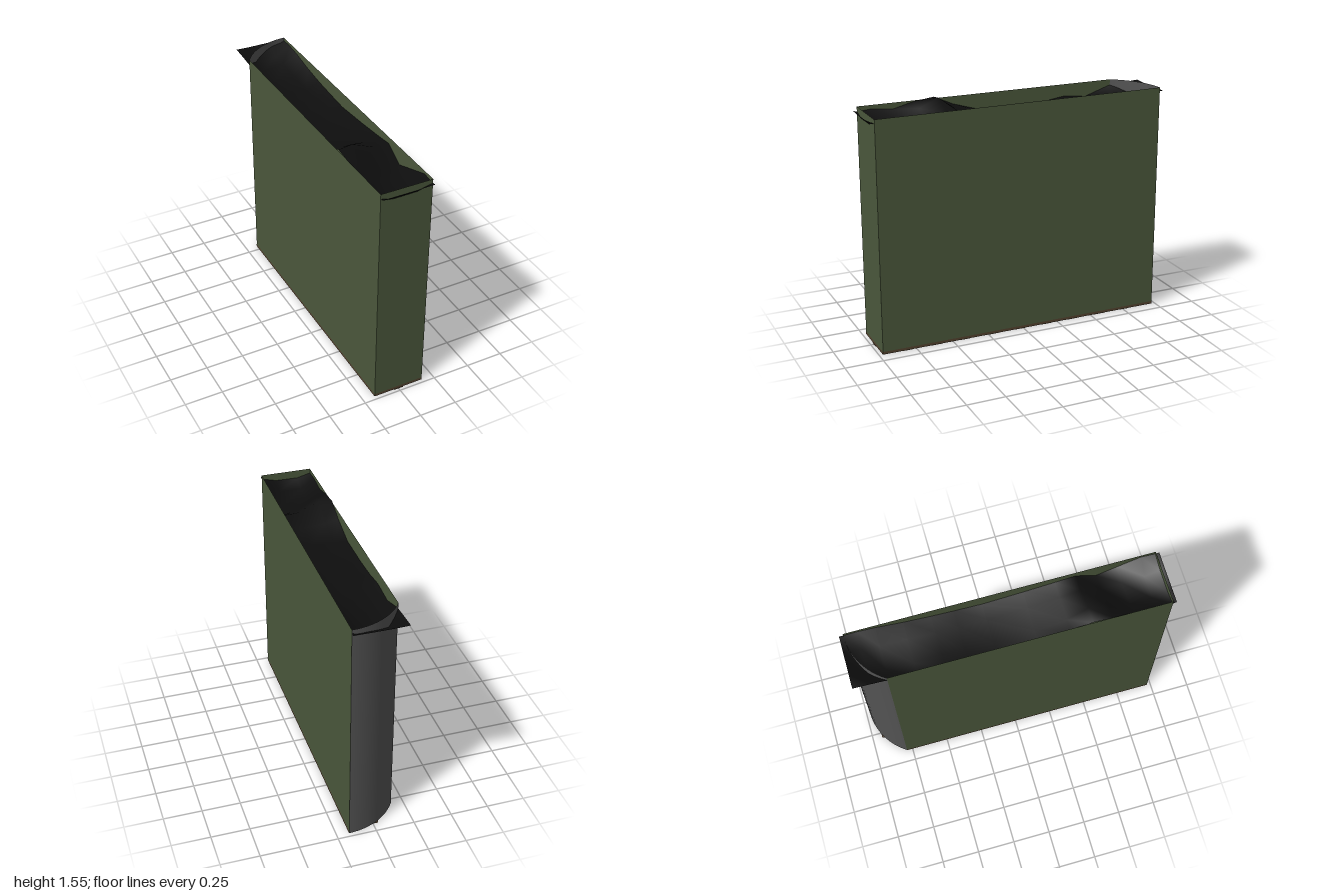
import * as THREE from 'three';

const W = 0.17, L = 0.975, TOP = 1.53, R = 0.405;
const SWEEP = Math.asin((2 * W) / R);
const CUT = -L + R - R * Math.cos(SWEEP); // z where the rounded end meets the -x wall

const mat = (name, color, side = THREE.DoubleSide) => {
  const m = new THREE.MeshStandardMaterial({ color, side });
  m.name = name;
  return m;
};

export function createModel() {
  const green = mat('wall green', 0x4b583c);
  const grey = mat('end grey', 0x535353);
  const black = mat('surface black', 0x0e0e0e);
  const stone = mat('floor stone', 0x9c9d8f);
  const brown = mat('base brown', 0x54432f);

  const model = new THREE.Group();
  const add = (name, geometry, material, x = 0, y = 0, z = 0, ry = 0) => {
    const mesh = new THREE.Mesh(geometry, material);
    mesh.name = name;
    mesh.position.set(x, y, z);
    mesh.rotation.y = ry;
    model.add(mesh);
    return mesh;
  };

  // Thin upright walls, each with a narrow base strip just outside it
  const wall = (name, length, x, z, ry) => {
    add(name, new THREE.PlaneGeometry(length, TOP - 0.003), green, x, (TOP + 0.003) / 2, z, ry);
    const out = 0.0015;
    add(name + 'BaseStrip', new THREE.PlaneGeometry(length, 0.018), brown,
      x + Math.sin(ry) * out, 0.011, z + Math.cos(ry) * out, ry);
  };
  wall('frontWall', 2 * W, 0, L, 0);
  wall('rightWall', 2 * L, W, 0, Math.PI / 2);
  wall('leftWall', L - CUT, -W, (L + CUT) / 2, -Math.PI / 2);

  // Rounded back end
  add('roundedBackWall',
    new THREE.CylinderGeometry(R, R, TOP - 0.003, 12, 1, true, Math.PI, SWEEP),
    grey, W, (TOP + 0.003) / 2, -L + R);

  // Floor following the wall footprint, facing down
  const outline = [new THREE.Vector2(-W, L), new THREE.Vector2(W, L)];
  for (let i = 0; i <= 12; i++) {
    const a = (SWEEP * i) / 12;
    outline.push(new THREE.Vector2(W - R * Math.sin(a), -L + R - R * Math.cos(a)));
  }
  const flat = (points) => new THREE.ShapeGeometry(new THREE.Shape(points)).rotateX(Math.PI / 2);
  add('floor', flat(outline), stone, 0, 0.003, 0);

  // Four-armed floor patches along the middle, small half patches on the edges
  const star = [];
  for (let k = 0; k < 4; k++) {
    for (const [px, py] of [[0.08, -0.032], [0.08, 0.032], [0.045, 0.045]]) {
      star.push(new THREE.Vector2(px, py).rotateAround(new THREE.Vector2(), (k * Math.PI) / 2));
    }
  }
  const starGeometry = flat(star);
  const halfGeometry = new THREE.CircleGeometry(0.036, 6, -Math.PI / 2, Math.PI).rotateX(Math.PI / 2);
  for (let i = 0; i < 10; i++) {
    const z = 0.9 - 0.195 * i;
    add('floorPatch', starGeometry, brown, 0, 0, z);
    if (i === 9) continue;
    add('edgePatch', halfGeometry, brown, -W, 0, z - 0.0975);
    add('edgePatch', halfGeometry, brown, W, 0, z - 0.0975, Math.PI);
  }

  // Uneven dark surface: rows of [z, height at -x, middle left, middle right, +x]
  const rows = [
    [1, 1.505, 1.505, 1.505, 1.507], [0.975, 1.498, 1.475, 1.477, 1.503],
    [0.88, 1.505, 1.44, 1.44, 1.51], [0.74, 1.49, 1.44, 1.42, 1.46],
    [0.6, 1.525, 1.5, 1.43, 1.41], [0.47, 1.54, 1.552, 1.49, 1.486],
    [0.34, 1.48, 1.46, 1.45, 1.47], [0.14, 1.42, 1.42, 1.43, 1.45],
    [-0.12, 1.42, 1.41, 1.41, 1.43], [-0.3, 1.43, 1.42, 1.42, 1.44],
    [-0.44, 1.45, 1.43, 1.42, 1.45], [-0.61, 1.435, 1.42, 1.43, 1.47],
    [-0.78, 1.49, 1.425, 1.44, 1.5], [-0.89, 1.5, 1.445, 1.46, 1.51],
    [-1, 1.508, 1.505, 1.505, 1.507],
  ];
  const columns = [-W + 0.0005, -0.08, 0.07, W - 0.0005];
  const sheet = new THREE.PlaneGeometry(1, 1, columns.length - 1, rows.length - 1);
  const pos = sheet.attributes.position;
  rows.slice().reverse().forEach(([z, ...heights], r) => {
    heights.forEach((y, c) => pos.setXYZ(r * columns.length + c, columns[c], y, z));
  });
  sheet.computeVertexNormals();
  add('unevenTopSurface', sheet, black);

  return model;
}
